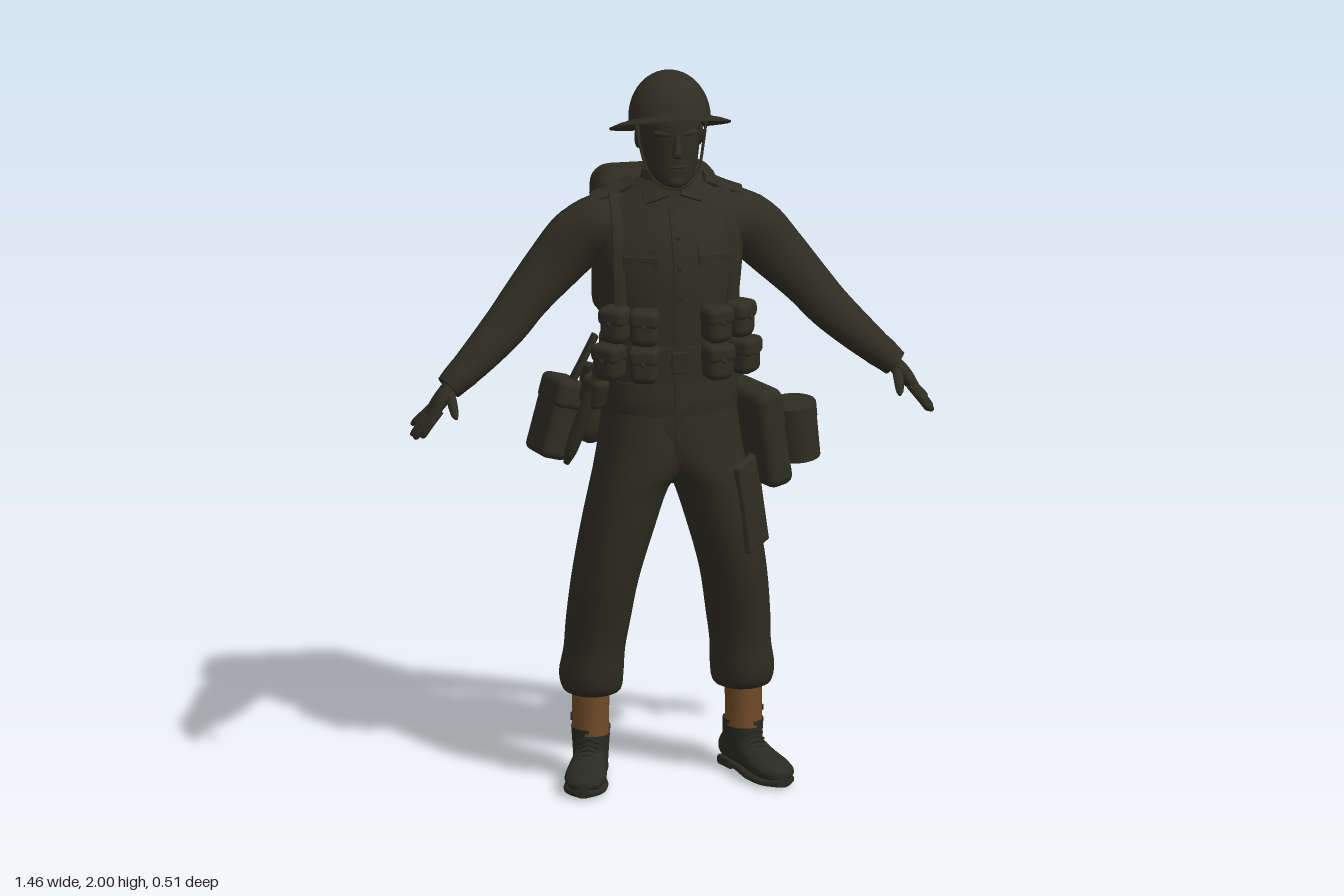
import * as THREE from 'three';
import { toCreasedNormals } from 'three/addons/utils/BufferGeometryUtils.js';
import { RoundedBoxGeometry } from 'three/addons/geometries/RoundedBoxGeometry.js';

const V = (x, y, z) => new THREE.Vector3(x, y, z);
const UP = V(0, 1, 0), FWD = V(0, 0, 1);

// Smooth skin through sections [x, y, z, halfWidth, halfDepth]; e < 1 squares the ring.
// axis fixes the ring plane, otherwise rings follow the path.
function loft(sections, { axis = null, n = 24, steps = 4, e = 1, crease = 0.8 } = {}) {
  const path = new THREE.CatmullRomCurve3(sections.map(s => V(s[0], s[1], s[2])), false, 'catmullrom', 0.5);
  const size = new THREE.CatmullRomCurve3(sections.map(s => V(s[3], s[4], 0)), false, 'catmullrom', 0.5);
  const rows = (sections.length - 1) * steps, pos = [], idx = [];
  const sq = v => Math.sign(v) * Math.abs(v) ** e;
  for (let i = 0; i <= rows; i++) {
    const c = path.getPoint(i / rows), r = size.getPoint(i / rows);
    const t = axis || path.getTangent(i / rows);
    const u = V(1, 0, 0).addScaledVector(t, -t.x).normalize(), v = u.clone().cross(t);
    for (let j = 0; j < n; j++) {
      const a = (j / n) * Math.PI * 2;
      const p = c.clone().addScaledVector(u, sq(Math.cos(a)) * r.x).addScaledVector(v, sq(Math.sin(a)) * r.y);
      pos.push(p.x, p.y, p.z);
    }
  }
  for (let i = 0; i < rows; i++) for (let j = 0; j < n; j++) {
    const a = i * n + j, b = i * n + (j + 1) % n;
    idx.push(a, a + n, b + n, a, b + n, b);
  }
  const first = pos.length / 3, a = path.getPoint(0), b = path.getPoint(1);
  pos.push(a.x, a.y, a.z, b.x, b.y, b.z);
  for (let j = 0; j < n; j++) {
    const k = (j + 1) % n;
    idx.push(first, j, k, first + 1, rows * n + k, rows * n + j);
  }
  const g = new THREE.BufferGeometry();
  g.setAttribute('position', new THREE.Float32BufferAttribute(pos, 3));
  g.setIndex(idx);
  return toCreasedNormals(g, crease);
}

const place = (g, p, r = [0, 0, 0]) => g.applyMatrix4(new THREE.Matrix4()
  .makeRotationFromEuler(new THREE.Euler(r[0], r[1], r[2], 'YXZ')).setPosition(...p));
const box = (w, h, d, p, r, round = 0.3) =>
  place(new RoundedBoxGeometry(w, h, d, 3, Math.min(w, h, d) * round), p, r);
const ball = (sx, sy, sz, p, r) => place(new THREE.SphereGeometry(1, 18, 12).scale(sx, sy, sz), p, r);
const strap = (pts, w = 0.02, d = 0.006) =>
  loft(pts.map(p => [...p, w, d]), { n: 12, e: 0.4, steps: 5 });
const tube = (pts, r) => new THREE.TubeGeometry(new THREE.CatmullRomCurve3(pts.map(p => V(...p))), 20, r, 6);

function mirrored(src) {
  const g = src.clone().scale(-1, 1, 1);
  const index = g.index ? Array.from(g.index.array) : Array.from({ length: g.attributes.position.count }, (_, i) => i);
  for (let i = 0; i < index.length; i += 3) [index[i], index[i + 1]] = [index[i + 1], index[i]];
  g.setIndex(index);
  return g;
}

export function createModel() {
  const model = new THREE.Group();
  const material = (name, color) => Object.assign(new THREE.MeshStandardMaterial({ color }), { name });
  const olive = material('olive cloth', 0x2d2d21);
  const leather = material('dark leather', 0x292a22);
  const brown = material('brown gaiter', 0x6e4926);
  const add = (name, g, mat = olive) => {
    const m = new THREE.Mesh(g, mat);
    m.name = name;
    model.add(m);
  };
  const pair = (name, g, mat) => { add(name + 'Left', g, mat); add(name + 'Right', mirrored(g), mat); };

  // Jacket and trousers; the upper legs overlap to form the seat
  add('jacket', loft([[0, 1.06, .05, .181, .15], [0, 1.17, .05, .182, .145], [0, 1.3, .05, .185, .147],
    [0, 1.45, .045, .2, .15], [0, 1.55, .035, .205, .135], [0, 1.63, .025, .175, .105],
    [0, 1.67, .03, .115, .085], [0, 1.7, .04, .075, .07]], { axis: UP, n: 36, e: .93 }));
  add('waistband', loft([[0, 1.06, .05, .186, .154], [0, 1.1, .05, .189, .156], [0, 1.15, .05, .186, .151]], { axis: UP, n: 36, e: .93 }));
  add('hips', loft([[0, .845, .055, .02, .05], [0, .88, .055, .06, .1], [0, .95, .055, .15, .138],
    [0, 1.02, .054, .182, .149], [0, 1.08, .05, .18, .148]], { axis: UP, n: 36 }));
  pair('trouserLeg', loft([[.21, .24, .015, .055, .06], [.209, .255, .015, .08, .088], [.21, .3, .014, .087, .103],
    [.203, .37, .022, .083, .1], [.195, .45, .033, .087, .105], [.178, .58, .05, .091, .12],
    [.147, .72, .06, .099, .133], [.113, .84, .058, .106, .146], [.086, .89, .057, .123, .151], [.058, .96, .055, .139, .151],
    [.05, 1.06, .05, .133, .146]], { axis: UP, n: 28, e: .96 }));
  add('placket', strap([[0, 1.08, .205], [0, 1.2, .197], [0, 1.32, .198], [0, 1.46, .195], [0, 1.56, .167], [0, 1.64, .125]], .018, .005));
  add('fly', strap([[0, 1.06, .2], [0, .98, .201], [0, .92, .185]], .012, .004));
  for (const y of [1.4, 1.48, 1.56]) add('button', ball(.007, .007, .004, [0, y, y > 1.5 ? .175 : .202]));

  // Chest pockets, shoulder tabs and thigh pocket
  pair('chestPocket', box(.1, .12, .01, [.102, 1.45, .165], [0, .38, 0]));
  pair('chestPocketFlap', box(.104, .035, .014, [.102, 1.512, .157], [-.25, .38, -.1]));
  pair('shoulderTab', strap([[.1, 1.69, .03], [.15, 1.665, .02], [.21, 1.64, .012]], .006, .025));
  add('thighPocket', box(.125, .25, .022, [.21, .785, .14], [-.1, .95, .1]));
  add('thighPocketFlap', box(.13, .06, .026, [.197, .88, .135], [-.1, .95, .1]));

  // Arms and hands
  pair('sleeve', loft([[.1, 1.585, .015, .06, .075], [.17, 1.565, .01, .087, .088], [.24, 1.53, .003, .088, .076],
    [.31, 1.458, .003, .079, .062], [.39, 1.37, .013, .067, .056], [.45, 1.3, .03, .062, .055], [.53, 1.225, .058, .052, .052],
    [.6, 1.165, .08, .041, .047], [.62, 1.15, .086, .036, .043]]));
  pair('cuff', loft([[.575, 1.186, .073, .046, .05], [.595, 1.17, .079, .043, .049], [.622, 1.146, .086, .038, .046]]));
  pair('palm', loft([[.6, 1.165, .08, .022, .03], [.625, 1.14, .088, .022, .035], [.65, 1.11, .095, .021, .043], [.678, 1.073, .099, .013, .041]]));
  [[.062, .712, 1.04, .05], [.086, .72, 1.02, .083], [.109, .717, 1.018, .109], [.132, .703, 1.028, .136]].forEach(([z, x, y, tz], i) =>
    pair('finger' + (i + 1), loft([[.655, 1.095, z, .012, .012], [(.675 + x) / 2, (1.075 + y) / 2, (z + tz) / 2, .012, .012],
      [x, y, tz, .009, .009], [x + .004, y - .007, tz, .003, .003]], { n: 10 })));
  pair('thumb', loft([[.623, 1.14, .1, .014, .016], [.622, 1.115, .135, .014, .014], [.62, 1.09, .16, .011, .011], [.618, 1.08, .174, .004, .004]], { n: 10 }));

  // Head and collar
  add('neck', loft([[0, 1.62, .03, .07, .07], [0, 1.7, .04, .06, .064], [0, 1.79, .045, .06, .068]], { axis: UP }));
  add('head', loft([[0, 1.695, .122, .022, .025], [0, 1.707, .11, .045, .05], [0, 1.735, .088, .065, .075], [0, 1.78, .063, .077, .1],
    [0, 1.83, .054, .082, .109], [0, 1.88, .05, .084, .112], [0, 1.93, .045, .07, .09]], { axis: UP, n: 32 }));
  add('nose', loft([[0, 1.784, .166, .009, .01], [0, 1.794, .17, .016, .02], [0, 1.82, .163, .011, .016], [0, 1.85, .154, .009, .012]], { axis: UP, n: 14 }));
  add('upperLip', ball(.026, .006, .012, [0, 1.757, .155]));
  add('lowerLip', ball(.022, .007, .012, [0, 1.744, .152]));
  add('chin', ball(.028, .02, .02, [0, 1.715, .146]));
  pair('brow', ball(.03, .01, .014, [.034, 1.85, .144], [0, .4, 0]));
  pair('eye', ball(.013, .006, .008, [.034, 1.832, .141], [0, .4, 0]));
  pair('ear', ball(.01, .032, .02, [.085, 1.815, .04], [.15, .25, 0]));
  add('collarBand', loft([[0, 1.65, .032, .098, .088], [0, 1.69, .033, .08, .08], [0, 1.725, .036, .07, .072]], { axis: UP, n: 28 }));
  pair('collarPoint', box(.072, .045, .01, [.05, 1.672, .108], [-.55, .5, -.45]));

  // Steel helmet with chin strap
  const dome = Array.from({ length: 13 }, (_, i) => {
    const a = (i / 12) * Math.PI / 2;
    return [.113 * Math.cos(a), .002 + .132 * Math.sin(a)];
  });
  const profile = [[0, .115], [.08, .075], [.103, .002], [.155, -.02], [.166, -.021], [.167, -.016], [.137, -.005], [.118, -.001], ...dome];
  add('helmet', place(toCreasedNormals(new THREE.LatheGeometry(profile.map(p => new THREE.Vector2(Math.max(p[0], 0), p[1])), 48), .7),
    [0, 1.867, .056], [-.33, 0, 0]));
  pair('chinStrap', tube([[.1, 1.87, .07], [.088, 1.8, .085], [.068, 1.73, .11], [.03, 1.695, .135], [0, 1.69, .14]], .004));

  // Webbing: belt, braces and ammunition pouches
  add('belt', loft([[0, 1.175, .05, .192, .156], [0, 1.215, .05, .193, .157], [0, 1.255, .05, .192, .157]], { axis: UP, n: 36, e: .93 }));
  add('buckle', box(.05, .06, .012, [0, 1.215, .208]));
  pair('brace', strap([[.155, 1.27, .163], [.157, 1.38, .153], [.158, 1.48, .145], [.155, 1.58, .116], [.152, 1.641, .065],
    [.148, 1.657, .02], [.143, 1.62, -.053], [.13, 1.53, -.088], [.11, 1.4, -.099]], .018));
  const pouch = (x, y, z, yaw, w) => {
    const front = d => [x + Math.sin(yaw) * d, z + Math.cos(yaw) * d];
    const [fx, fz] = front(.004), [bx, bz] = front(.04);
    pair('pouch', box(w, .1, .072, [x, y, z], [0, yaw, 0], .35));
    pair('pouchFlap', box(w + .005, .052, .07, [fx, y + .027, fz], [0, yaw, 0], .35));
    pair('pouchStud', ball(.007, .007, .005, [bx, y + .01, bz], [0, yaw, 0]));
  };
  pouch(.1, 1.32, .208, .3, .078);
  pouch(.172, 1.32, .163, .75, .076);
  pouch(.102, 1.215, .211, .3, .08);
  pouch(.188, 1.215, .16, .85, .082);

  // Backpack with lid and straps
  add('backpack', box(.335, .39, .145, [0, 1.453, -.167], [-.03, 0, 0], .32));
  add('backpackLid', box(.345, .18, .158, [0, 1.587, -.17], [-.03, 0, 0], .36));
  for (const [s, name] of [[-1, 'A'], [1, 'B']]) {
    add('packStrap' + name, strap([[s * .07, 1.6, -.251], [s * .066, 1.51, -.25], [s * .06, 1.4, -.242], [s * .06, 1.3, -.237]], .011, .004));
    add('packCord' + name, tube([[s * .09, 1.52, -.254], [s * .03, 1.44, -.247], [s * .08, 1.35, -.246], [s * .06, 1.25, -.19]], .004));
  }
  pair('packLowerStrap', strap([[.1, 1.3, -.12], [.14, 1.22, -.11], [.18, 1.13, -.07]], .014));

  // Left hip: haversack turned toward the back, and mess tin
  const turn = [0, .36, .17];
  add('haversack', box(.083, .28, .295, [.228, .965, .015], turn, .33));
  add('haversackFlap', box(.09, .13, .302, [.217, 1.04, .015], turn, .33));
  add('haversackStrap', strap([[.19, 1.27, -.05], [.2, 1.18, -.03], [.207, 1.08, -.02]], .008, .02));
  for (const z of [-.075, .075]) add('haversackBuckle', box(.01, .1, .02, [.268 + z * .37, .97, z], turn));
  const tilt = [0, 0, .09];
  add('messTin', place(new THREE.CylinderGeometry(.085, .085, .145, 28).scale(.75, 1, 1), [.358, .95, .005], tilt));
  add('messTinLid', place(new THREE.CylinderGeometry(.088, .088, .04, 28).scale(.75, 1, 1), [.352, 1.008, .005], tilt));
  add('messTinStrap', box(.1, .02, .03, [.29, 1.02, .005]));

  // Right hip: hanging case, water bottle and small pouch
  add('sideCase', box(.08, .22, .13, [-.3, 1.012, -.04], [0, .25, -.28], .25));
  add('sideCaseFlap', box(.087, .08, .136, [-.28, 1.083, -.04], [0, .25, -.28], .25));
  add('sideCaseStrap', strap([[-.19, 1.24, -.03], [-.225, 1.17, -.03], [-.265, 1.09, -.035]], .008, .018));
  add('waterBottle', ball(.075, .095, .04, [-.185, 1.01, -.095], [0, .6, 0]));
  add('waterBottleNeck', place(new THREE.CylinderGeometry(.018, .018, .05, 20), [-.185, 1.11, -.095]));
  add('waterBottleStrap', box(.025, .2, .084, [-.185, 1.04, -.095], [0, .6, 0]));
  add('hipPouch', box(.075, .09, .06, [-.21, 1.11, .07], [0, -1, -.3]));
  add('scabbard', loft([[-.2, 1.17, .09, .018, .02], [-.23, 1.08, .075, .02, .022], [-.27, .95, .05, .018, .02], [-.285, .9, .04, .008, .01]], { n: 14 }));

  // Gaiters and boots, toes turned outward
  pair('gaiter', loft([[.213, .13, .02, .052, .062], [.213, .18, .02, .05, .059], [.212, .27, .018, .052, .06]], { axis: UP }), brown);
  pair('gaiterBuckle', box(.008, .016, .036, [.262, .172, .006], [0, .2, 0]), leather);
  const boot = (name, g) => pair(name, place(g, [.213, 0, .02], [0, .29, 0]), leather);
  boot('bootUpper', loft([[0, .05, -.085, .015, .02], [0, .057, -.075, .038, .042], [0, .06, -.03, .044, .046], [0, .06, .04, .045, .048],
    [0, .05, .1, .053, .038], [0, .043, .16, .057, .03], [0, .038, .21, .045, .022], [0, .034, .23, .018, .01]], { axis: FWD }));
  boot('bootShaft', loft([[0, .04, -.005, .047, .075], [0, .09, -.006, .05, .067], [0, .147, -.003, .054, .063]], { axis: UP }));
  boot('bootSole', loft([[0, .014, -.085, .022, .013], [0, .014, -.07, .042, .013], [0, .014, .02, .042, .012], [0, .014, .12, .06, .012],
    [0, .014, .195, .053, .012], [0, .016, .234, .02, .012]], { axis: FWD, e: .75 }));
  boot('bootHeel', box(.084, .028, .075, [0, .014, -.043]));
  for (const [y, z] of [[.125, .062], [.11, .07], [.1, .083], [.09, .1]])
    boot('bootLace', tube([[-.028, y - .012, z - .006], [0, y, z], [.028, y - .012, z - .006]], .004));
  return model;
}
